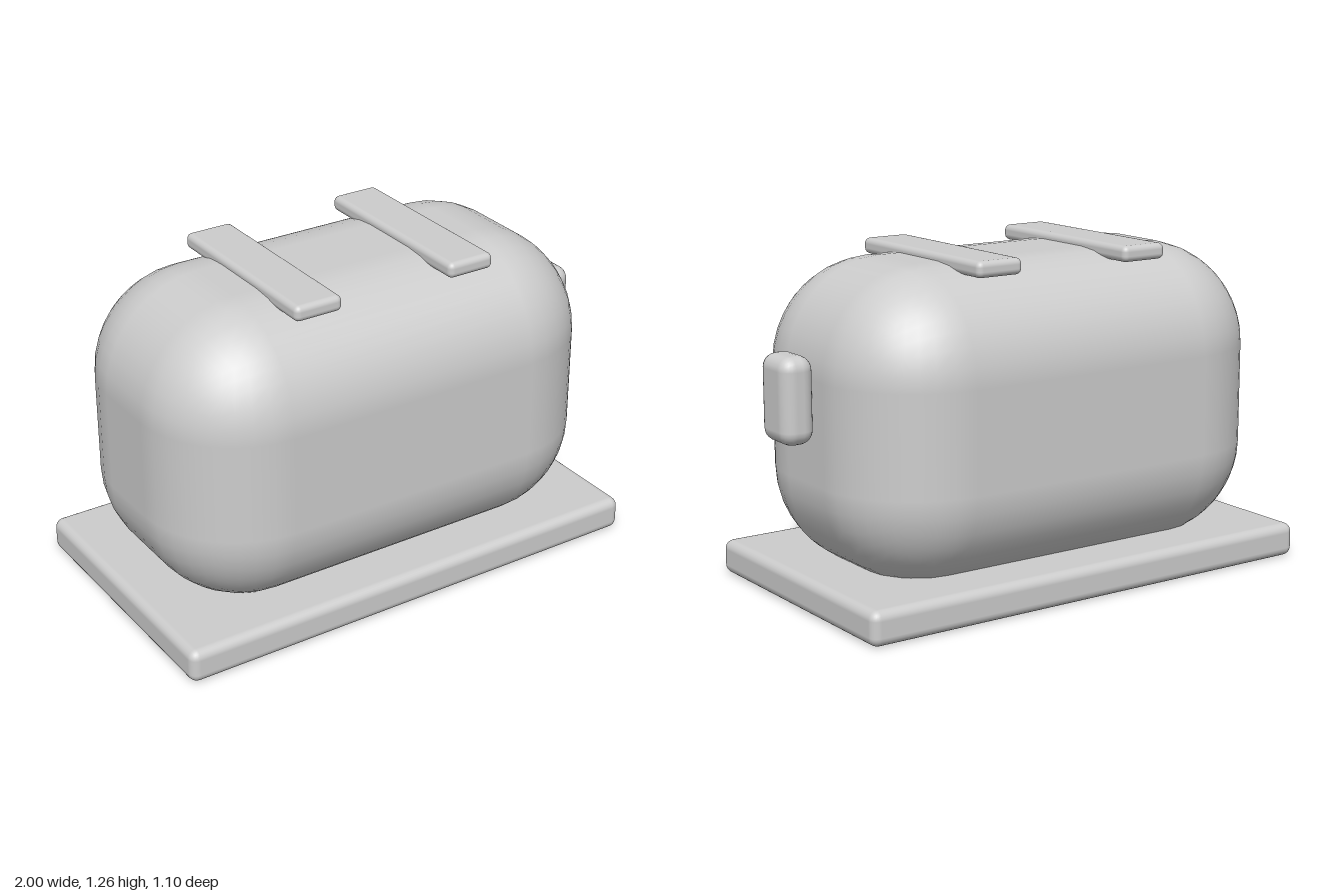
import * as THREE from 'three';
import { RoundedBoxGeometry } from 'three/addons/geometries/RoundedBoxGeometry.js';

export function createModel() {
  const model = new THREE.Group();
  model.name = 'toaster';

  const grey = new THREE.MeshStandardMaterial({ color: 0xcccccc });
  grey.name = 'light grey';

  // Rounded block given by its min and max corners
  function block(name, min, max, radius, segments = 3) {
    const size = max.map((v, i) => v - min[i]);
    const mesh = new THREE.Mesh(new RoundedBoxGeometry(...size, segments, radius), grey);
    mesh.position.set(...max.map((v, i) => (v + min[i]) / 2));
    mesh.name = name;
    model.add(mesh);
  }

  // Flat base plate
  block('base', [-1, 0, -0.548], [0.93, 0.13, 0.548], 0.035);

  // Large, softly rounded housing sunk slightly into the base
  block('body', [-0.94, 0.07, -0.517], [0.87, 1.233, 0.517], 0.392, 5);

  // Two slot bars across the top
  for (const x of [-0.36, 0.287]) {
    block('slotBar', [x - 0.096, 1.2, -0.386], [x + 0.096, 1.26, 0.386], 0.022);
  }

  // Lever knob on the end
  block('lever', [0.87, 0.618, -0.096], [1, 0.938, 0.096], 0.052);

  return model;
}
